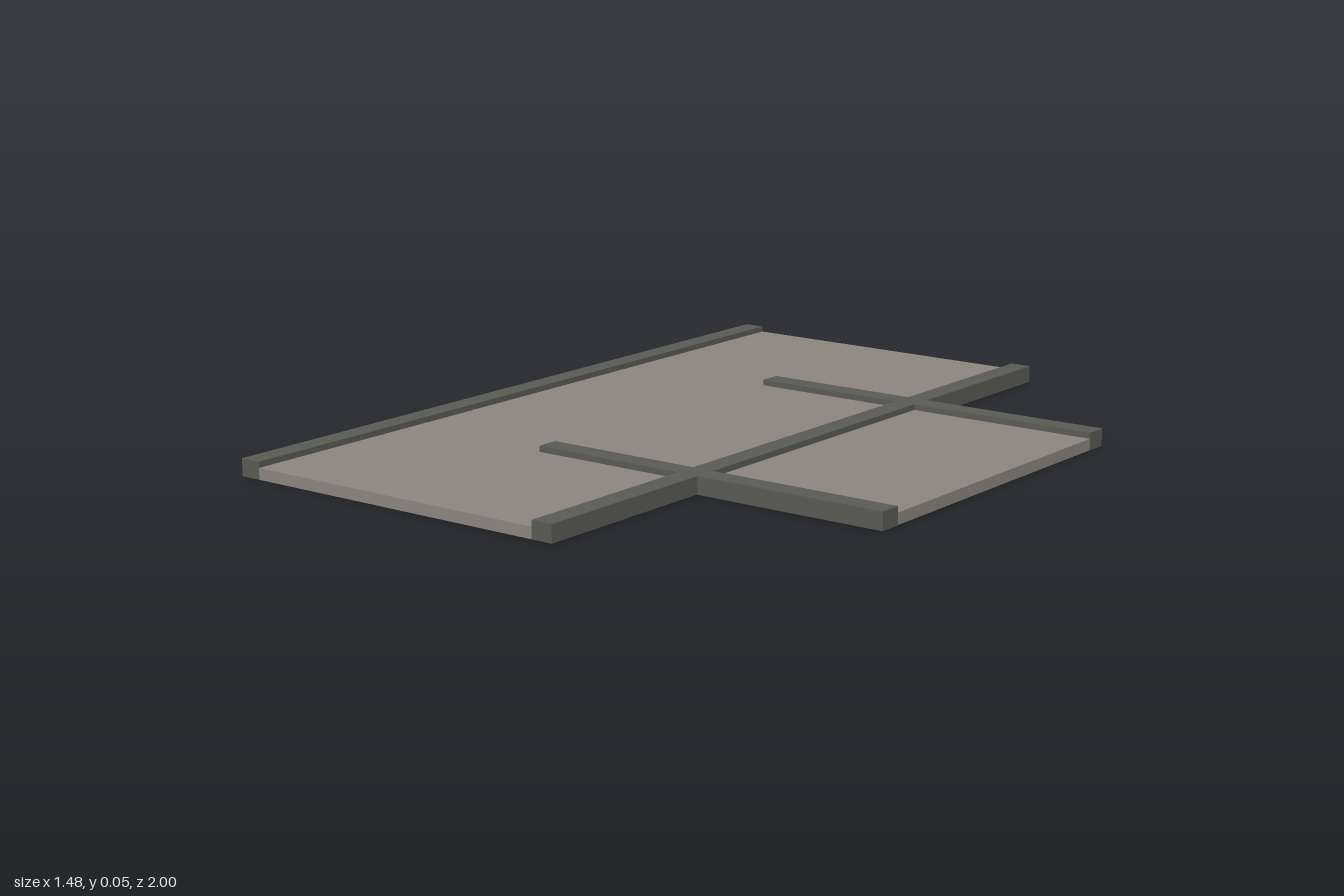
import * as THREE from 'three';

export function createModel() {
  const model = new THREE.Group();
  model.name = 'floorPanel';

  const slab = new THREE.MeshStandardMaterial({ color: 0x8b857d });
  slab.name = 'warm grey slab';
  const trim = new THREE.MeshStandardMaterial({ color: 0x5a5a55 });
  trim.name = 'dark grey trim';

  // Box given by its minimum and maximum on each axis
  function block(name, material, [x0, x1], [y0, y1], [z0, z1]) {
    const geometry = new THREE.BoxGeometry(x1 - x0, y1 - y0, z1 - z0);
    const mesh = new THREE.Mesh(geometry, material);
    mesh.position.set((x0 + x1) / 2, (y0 + y1) / 2, (z0 + z1) / 2);
    mesh.name = name;
    model.add(mesh);
  }

  const base = 0.001; // slabs sit just above the underside of the cross beams
  const slabTop = 0.03;
  const beamTop = 0.045;

  // Floor slabs
  block('mainSlab', slab, [-0.685, 0.167], [base, slabTop], [-1, 1]);
  block('sideSlab', slab, [0.225, 0.742], [base, slabTop], [-0.426, 0.426]);

  // Long beams, with undersides that continue the slab
  const beamFaces = [trim, trim, trim, slab, trim, trim];
  block('outerBeam', beamFaces, [-0.742, -0.685], [base, beamTop], [-1, 1]);
  block('middleBeam', beamFaces, [0.167, 0.225], [base, beamTop], [-1, 1]);

  // Cross beams
  block('frontCrossBeam', trim, [-0.258, 0.742], [0, beamTop], [0.426, 0.485]);
  block('backCrossBeam', trim, [-0.258, 0.742], [0, beamTop], [-0.485, -0.426]);

  return model;
}
